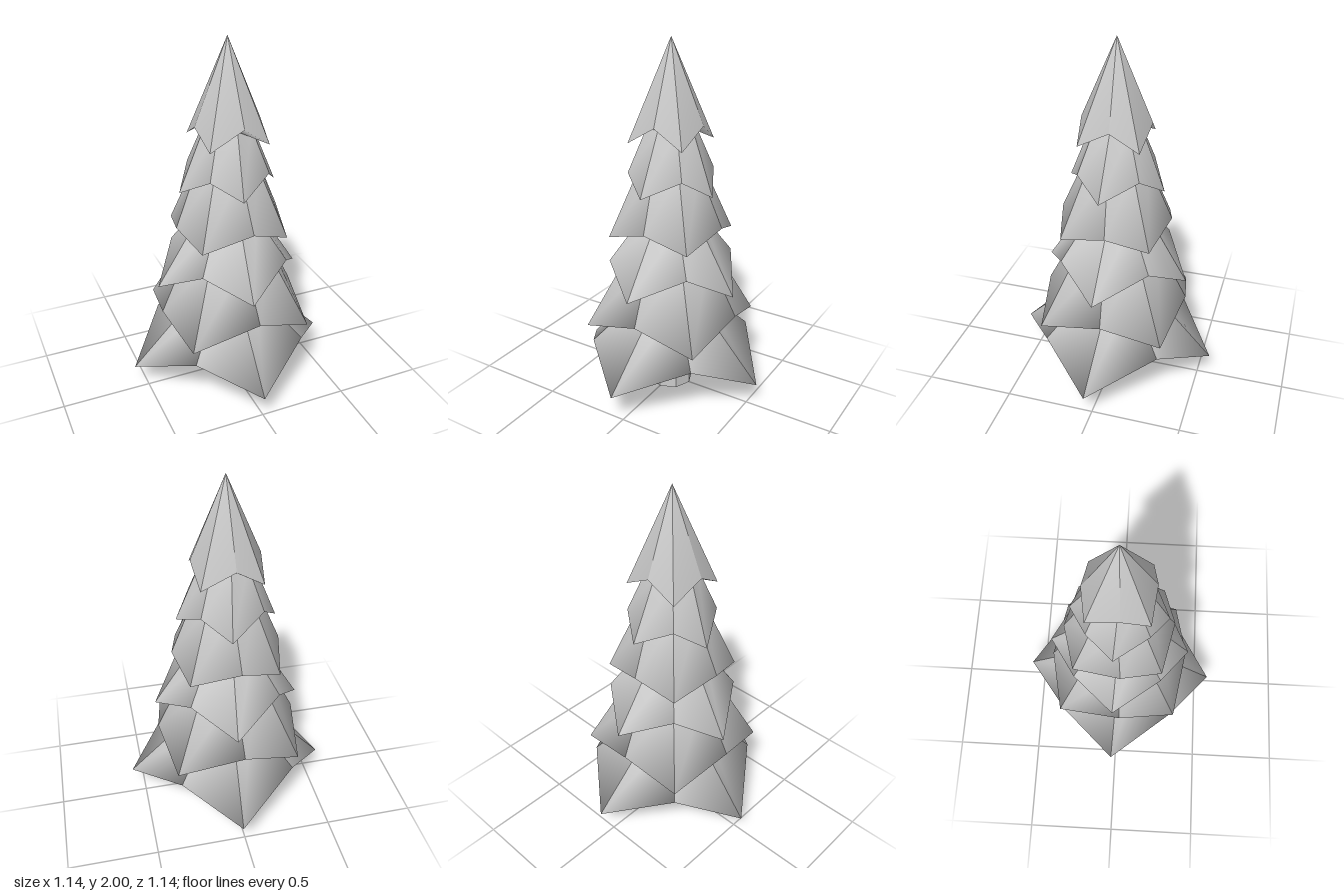
import * as THREE from 'three';
import { toCreasedNormals } from 'three/addons/utils/BufferGeometryUtils.js';

const material = new THREE.MeshStandardMaterial({ color: 0xcccccc });

// Branch tiers, top to bottom, as (radius, height). Each rim alternates between four
// axis points and four diagonal points; neck is the ring where the tier below begins.
const TIERS = [
  { axis: [0.188, 1.56], diagonal: [0.233, 1.46], neck: [0.13, 1.54], twist: 0.013 },
  { axis: [0.268, 1.195], diagonal: [0.235, 1.3], neck: [0.17, 1.33], twist: -0.022 },
  { axis: [0.305, 1.015], diagonal: [0.346, 0.94], neck: [0.17, 1.03], twist: 0.02 },
  { axis: [0.407, 0.65], diagonal: [0.347, 0.8], neck: [0.235, 0.84], twist: -0.022 },
  { axis: [0.402, 0.512], diagonal: [0.485, 0.41], neck: [0.17, 0.56], twist: 0.02 },
  { axis: [0.57, 0.15], diagonal: [0.455, 0.31], neck: [0.125, 0.385], twist: -0.025 },
];
const TIP = [0, 2];

// Slight droop of the axis points at +z, +x, -z, -x
const DROOP = [0.04, 0.005, 0, -0.04];

const polar = (angle, r, y) => new THREE.Vector3(Math.sin(angle) * r, y, Math.cos(angle) * r);

// Eight-sided star skirt from the upper ring out to the rim and back in to the neck.
// Each sector is shaded softly over its rim and sharply against its neighbours.
function tierGeometry(upper, { axis, diagonal, neck, twist }) {
  const columns = [];
  for (let i = 0; i < 8; i++) {
    const a = (i * Math.PI) / 4;
    const onAxis = i % 2 === 0;
    const [r, y] = onAxis ? axis : diagonal;
    const rim = onAxis ? polar(a + twist / r, r, y + DROOP[i / 2] * r) : polar(a, r, y);
    columns.push([polar(a, ...upper), rim, polar(a, ...neck)]);
  }
  const points = [];
  const index = [];
  columns.forEach((column, i) => {
    const k = points.length;
    points.push(...column, ...columns[(i + 1) % 8]);
    index.push(k + 1, k + 4, k + 3);
    if (upper[0] > 0) index.push(k + 1, k + 3, k);
    index.push(k + 4, k + 1, k + 2, k + 4, k + 2, k + 5);
  });
  const geometry = new THREE.BufferGeometry().setFromPoints(points);
  geometry.setIndex(index);
  geometry.computeVertexNormals();
  return geometry;
}

export function createModel() {
  const tree = new THREE.Group();
  tree.name = 'pineTree';

  // Trunk
  const trunkGeometry = new THREE.CylinderGeometry(0.125, 0.125, 0.385, 8);
  trunkGeometry.translate(0, 0.1925, 0);
  const trunk = new THREE.Mesh(toCreasedNormals(trunkGeometry, 0.5), material);
  trunk.name = 'trunk';
  tree.add(trunk);

  // Branches, each tier starting at the neck of the one above
  const branches = new THREE.Group();
  branches.name = 'branches';
  TIERS.forEach((tier, i) => {
    const upper = i === 0 ? TIP : TIERS[i - 1].neck;
    const mesh = new THREE.Mesh(tierGeometry(upper, tier), material);
    mesh.name = `branchTier${i + 1}`;
    branches.add(mesh);
  });
  tree.add(branches);

  return tree;
}
